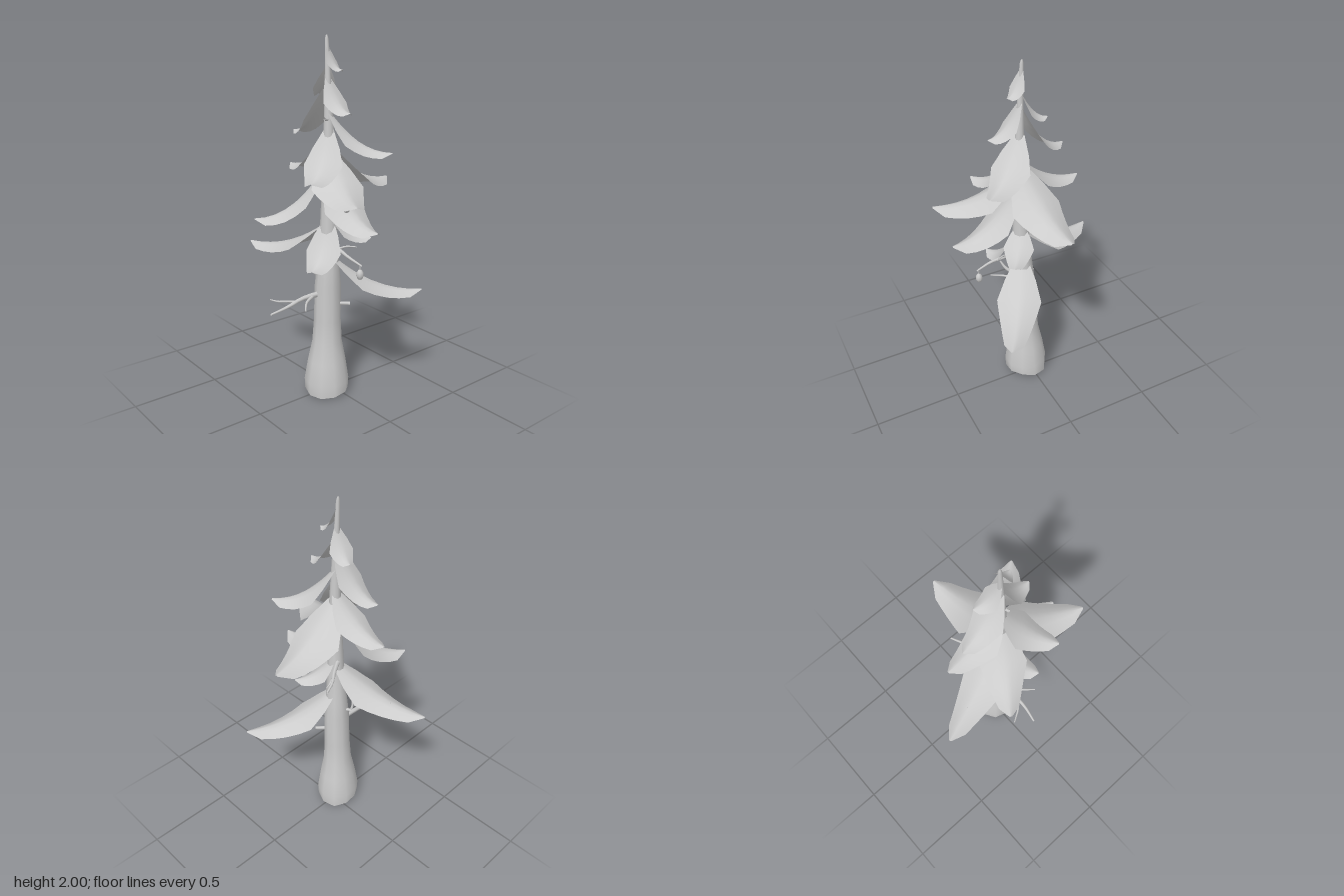
import * as THREE from 'three';
import { mergeVertices } from 'three/addons/utils/BufferGeometryUtils.js';

const smooth = new THREE.MeshStandardMaterial({ color: 0xcccccc, side: THREE.DoubleSide });
const V = (x, y, z) => new THREE.Vector3(x, y, z);

// Weld the seam so shading runs on without a line
function smoothMesh(geo, name) {
  geo.deleteAttribute('uv');
  geo.deleteAttribute('normal');
  const welded = mergeVertices(geo);
  welded.computeVertexNormals();
  const mesh = new THREE.Mesh(welded, smooth);
  mesh.name = name;
  return mesh;
}

// Linear lookup in a list of [position, value] pairs
function lookup(pairs, t) {
  for (let i = 1; i < pairs.length; i++) {
    const [a, u] = pairs[i - 1], [b, v] = pairs[i];
    if (t <= b) return u + (v - u) * (t - a) / (b - a);
  }
  return pairs[pairs.length - 1][1];
}

// Trunk axis with a slight sway
const axis = (y) => V(0.014 + 0.004 * y + 0.022 * Math.sin(Math.PI * Math.min(1, y / 2) ** 1.6), y, 0.045 + 0.005 * Math.min(1, y));

function makeTrunk() {
  const profile = [[0.124, 0], [0.127, 0.08], [0.108, 0.2], [0.084, 0.32], [0.076, 0.45], [0.073, 0.66],
    [0.062, 0.78], [0.049, 0.95], [0.04, 1.2], [0.031, 1.45], [0.022, 1.65], [0.015, 1.82], [0.01, 1.98], [0.004, 2]];
  const geo = new THREE.LatheGeometry(profile.map(([r, y]) => new THREE.Vector2(r, y)), 10);
  const p = geo.attributes.position;
  for (let i = 0; i < p.count; i++) {
    const y = p.getY(i), a = Math.atan2(p.getZ(i), p.getX(i)), c = axis(y);
    const flare = 1 + 0.03 * Math.cos(3 * a) * Math.max(0, 1 - y);
    const lift = y < 0.01 ? 0.012 * (1 + Math.sin(2 * a + 2.5)) : 0; // uneven foot
    p.setXYZ(i, p.getX(i) * flare + c.x, y + lift, p.getZ(i) * flare + c.z);
  }
  return smoothMesh(geo, 'trunk');
}

// Drooping kite-shaped bough with a blunt tip, from the trunk axis to a tip
const outline = [[0, 0.25], [0.16, 0.7], [0.33, 1], [0.86, 0.43], [1, 0.05]];
const steps = [0, 0.08, 0.16, 0.24, 0.33, 0.46, 0.6, 0.73, 0.86, 1];
function makeFrond(rootY, tip, half) {
  const root = axis(rootY), dx = tip.x - root.x, dz = tip.z - root.z, len = Math.hypot(dx, dz);
  const cols = 6;
  const geo = new THREE.PlaneGeometry(1, 1, cols, steps.length - 1);
  const p = geo.attributes.position;
  for (let i = 0; i < p.count; i++) {
    const t = steps[Math.floor(i / (cols + 1))], v = (i % (cols + 1)) / cols * 2 - 1;
    const w = half * lookup(outline, t);
    const droop = (0.28 + 0.37 * t) * w * Math.abs(v) ** 1.4;
    const y = rootY + (tip.y - rootY) * (1 - (1 - t) ** 2.15) - droop;
    p.setXYZ(i, root.x + dx * t + dz / len * w * v, y, root.z + dz * t - dx / len * w * v);
  }
  return smoothMesh(geo, 'frond');
}

// Tapered dead twig along a few points
function makeTwig(points, r0, r1) {
  const curve = new THREE.CatmullRomCurve3(points.map((q) => V(...q)));
  const rows = 8, sides = 6;
  const geo = new THREE.TubeGeometry(curve, rows, 1, sides);
  const p = geo.attributes.position;
  for (let i = 0; i < p.count; i++) {
    const t = Math.floor(i / (sides + 1)) / rows, c = curve.getPointAt(t);
    const q = V(0, 0, 0).fromBufferAttribute(p, i).sub(c).multiplyScalar(r0 + (r1 - r0) * t).add(c);
    p.setXYZ(i, q.x, q.y, q.z);
  }
  return smoothMesh(geo, 'twig');
}

// Hanging cone with its stalk
function makeCone(x, y, z, stalk) {
  const group = new THREE.Group();
  group.name = 'cone';
  const profile = [[0, -0.03], [0.012, -0.024], [0.02, -0.006], [0.018, 0.012], [0.009, 0.025], [0, 0.028]];
  const body = smoothMesh(new THREE.LatheGeometry(profile.map(([a, b]) => new THREE.Vector2(a, b)), 8), 'coneBody');
  const stem = smoothMesh(new THREE.CylinderGeometry(0.003, 0.003, stalk, 5, 1, true), 'coneStalk');
  stem.position.y = 0.025 + stalk / 2;
  group.add(body, stem);
  group.position.set(x, y, z);
  return group;
}

export function createModel() {
  const tree = new THREE.Group();
  tree.name = 'tree';
  tree.add(makeTrunk());

  // Boughs: root height, tip x y z, half width
  const fronds = [
    [0.85, 0.315, 0.61, -0.4, 0.125],
    [1.03, -0.48, 0.83, 0.225, 0.125],
    [1.05, 0.16, 0.81, 0.26, 0.1],
    [1.07, 0.17, 0.93, -0.14, 0.085],
    [1.33, 0.44, 1.045, 0.055, 0.13],
    [1.36, -0.18, 1.05, 0.385, 0.125],
    [1.41, 0.475, 1.21, 0.225, 0.14],
    [1.44, -0.015, 1.21, -0.42, 0.145],
    [1.48, -0.31, 1.3, 0.05, 0.105],
    [1.53, 0.215, 1.29, 0.305, 0.105],
    [1.62, 0.305, 1.41, -0.16, 0.11],
    [1.76, -0.23, 1.5, 0.08, 0.09],
    [1.79, 0.215, 1.62, 0.05, 0.075],
    [1.84, -0.1, 1.7, 0.01, 0.065],
    [1.95, 0.115, 1.83, 0.02, 0.05],
  ];
  for (const [y, tx, ty, tz, w] of fronds) tree.add(makeFrond(y, V(tx, ty, tz), w));

  // Dead branches and stubs: points, start radius, end radius
  const twigs = [
    [[[0.015, 0.61, 0.08], [0.01, 0.605, 0.22], [0.015, 0.585, 0.31], [0, 0.56, 0.415]], 0.018, 0.006],
    [[[0.01, 0.6, 0.26], [-0.03, 0.6, 0.305], [-0.06, 0.595, 0.325], [-0.1, 0.6, 0.35]], 0.008, 0.004],
    [[[0.012, 0.605, 0.14], [0.06, 0.6, 0.22], [0.13, 0.59, 0.28]], 0.01, 0.004],
    [[[0.03, 0.91, 0.05], [0.14, 0.88, 0.05], [0.22, 0.865, 0.06], [0.31, 0.84, 0.05]], 0.014, 0.005],
    [[[0.12, 0.885, 0.05], [0.16, 0.905, 0.03], [0.21, 0.91, 0.0]], 0.008, 0.003],
    [[[0.01, 1.05, 0.04], [-0.05, 1.04, -0.05], [-0.09, 1.03, -0.1], [-0.12, 1.015, -0.17]], 0.015, 0.005],
    [[[-0.07, 1.035, -0.08], [-0.08, 1.02, -0.11], [-0.075, 1.0, -0.13]], 0.007, 0.003],
    [[[0.04, 0.545, 0.03], [0.11, 0.545, -0.045]], 0.012, 0.01],
    [[[0, 0.7, 0.06], [-0.055, 0.71, 0.08]], 0.012, 0.009],
    [[[0.045, 1.57, 0.05], [0.055, 1.58, 0.09]], 0.01, 0.008],
  ];
  for (const [points, r0, r1] of twigs) tree.add(makeTwig(points, r0, r1));

  // Cones: x, y, z, stalk length
  for (const c of [[0.3, 0.79, 0.05, 0.03], [0.325, 1.175, 0.165, 0.03], [-0.285, 0.815, 0.155, 0.015]]) tree.add(makeCone(...c));
  return tree;
}
